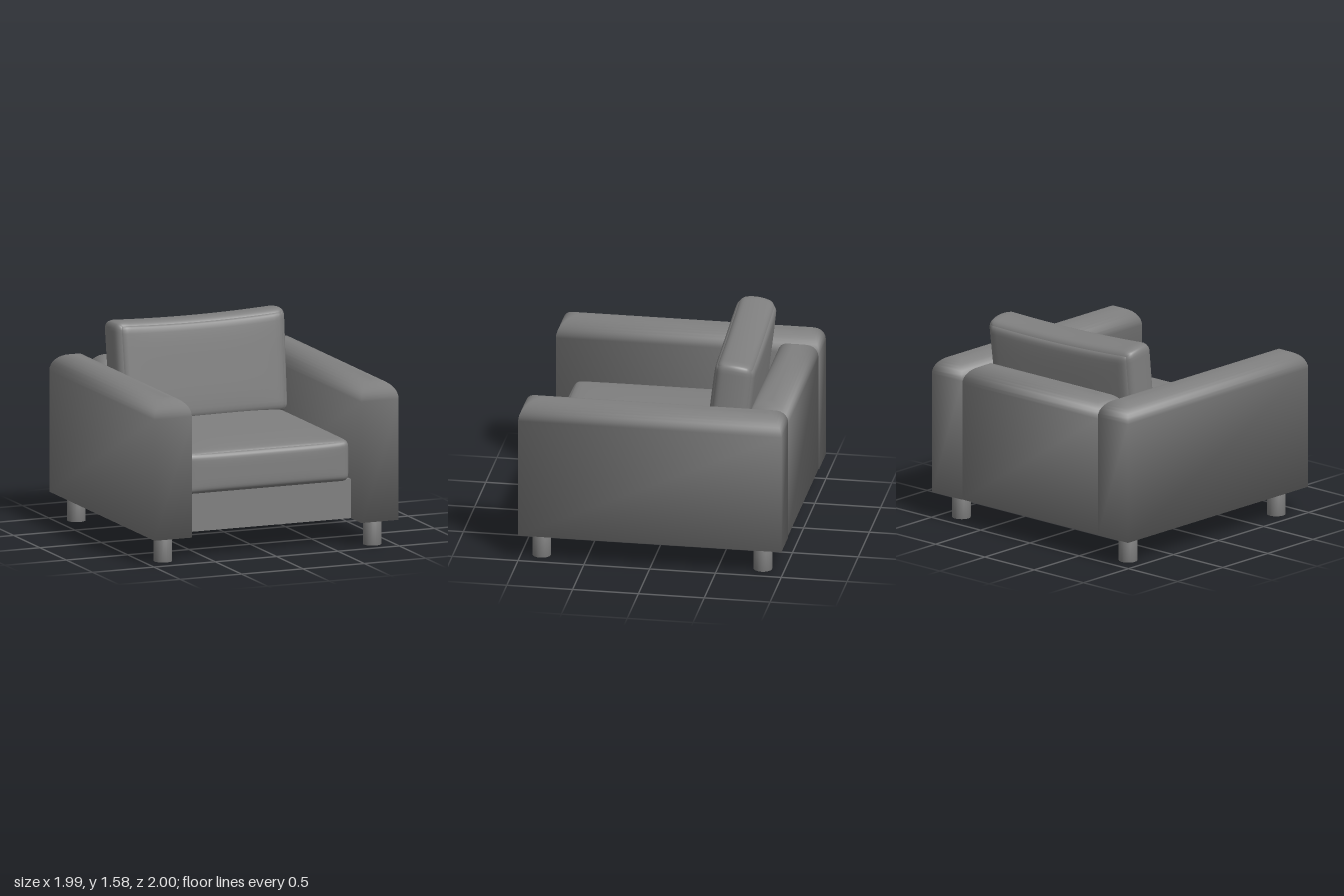
import * as THREE from 'three';
import { mergeVertices } from 'three/addons/utils/BufferGeometryUtils.js';

const material = new THREE.MeshStandardMaterial({ color: 0x808080 });

function addMesh(parent, name, geometry, x, y, z) {
  const mesh = new THREE.Mesh(geometry, material);
  mesh.name = name;
  mesh.position.set(x, y, z);
  parent.add(mesh);
  return mesh;
}

// Joins the corners of a geometry so that it shades smoothly all over
function weld(geo) {
  geo.deleteAttribute('uv');
  geo.deleteAttribute('normal');
  return mergeVertices(geo);
}

// Upright padded block, its top rolled over on all four sides, shaded softly round every edge
function rolledTopBlock(w, h, d, r) {
  const rows = 10;
  const geo = new THREE.BoxGeometry(w, h, d, 1, rows, 1);
  const p = geo.attributes.position;
  const n = new THREE.Vector3();
  for (let i = 0; i < p.count; i++) {
    const row = Math.round((p.getY(i) / h + 0.5) * rows);
    const a = ((row - 1) / (rows - 1)) * Math.PI / 2;
    const inset = row ? r * (1 - Math.cos(a)) : 0;
    const sx = Math.sign(p.getX(i)), sz = Math.sign(p.getZ(i));
    p.setXYZ(i,
      sx * (w / 2 - inset),
      row ? h - r + r * Math.sin(a) : 0,
      sz * (d / 2 - inset));
    if (row) n.set(sx * Math.cos(a), 2 * Math.sin(a), sz * Math.cos(a));
    else n.set(sx, -1, sz);
    n.normalize();
    geo.attributes.normal.setXYZ(i, n.x, n.y, n.z);
  }
  return geo;
}

// Soft rounded cushion; shape(p, u) adjusts each point, u being its -1..1 position
function cushion(w, h, d, r, shape) {
  const geo = weld(new THREE.BoxGeometry(2, 2, 2, 24, 24, 24));
  const half = new THREE.Vector3(w, h, d).multiplyScalar(0.5);
  const inner = half.clone().subScalar(r);
  const outer = inner.clone().negate();
  const pos = geo.attributes.position;
  const p = new THREE.Vector3(), c = new THREE.Vector3(), u = new THREE.Vector3();
  for (let i = 0; i < pos.count; i++) {
    u.fromBufferAttribute(pos, i);
    // crowd the rows towards the rounded edges
    u.set(...u.toArray().map((t) => Math.sin(t * Math.PI / 2)));
    p.copy(u).multiply(half);
    c.copy(p).clamp(outer, inner);
    p.sub(c).setLength(r).add(c);
    shape(p, u);
    pos.setXYZ(i, p.x, p.y, p.z);
  }
  geo.computeVertexNormals();
  return geo;
}

function leg() {
  const geo = weld(new THREE.CylinderGeometry(0.07, 0.07, 0.22, 24));
  geo.computeVertexNormals();
  return geo;
}

const swell = (a, b) => (1 - a ** 4) * (1 - b ** 4);

export function createModel() {
  const chair = new THREE.Group();
  chair.name = 'armchair';

  // Arms
  for (const [side, name] of [[1, 'leftArm'], [-1, 'rightArm']]) {
    addMesh(chair, name, rolledTopBlock(0.305, 1.065, 2, 0.14), side * 0.8425, 0.2, 0);
  }

  // Backrest between the arms
  addMesh(chair, 'backrest', rolledTopBlock(1.38, 1.045, 0.31, 0.14), 0, 0.2, -0.84);

  // Seat base
  addMesh(chair, 'seatBase', new THREE.BoxGeometry(1.38, 0.3, 1.5), 0, 0.35, 0.05);

  // Seat cushion, domed on top and slightly full at the front
  addMesh(chair, 'seatCushion', cushion(1.34, 0.32, 1.54, 0.05, (p, u) => {
    if (u.y > 0) p.y += 0.025 * u.y * swell(u.x, u.z);
    if (u.z > 0) p.z += 0.015 * u.z * swell(u.x, u.y);
  }), -0.005, 0.65, 0.08);

  // Loose back cushion, leaning back and turned a little, its rim rounded and top edge sagging
  const back = addMesh(chair, 'backCushion', cushion(1.41, 0.79, 0.3, 0.06, (p, u) => {
    p.x *= (1 + 0.008 * u.y) * (1 - 0.04 * u.z * u.z);
    p.z += 0.012 * u.z * swell(u.x, u.y);
    if (u.y > 0) p.y -= u.y * (0.02 * (1 - u.x * u.x) + 0.025 * u.z * u.z);
  }), 0, 1.18, -0.522);
  back.rotation.set(-0.12, 0.04, 0);

  // Legs
  const legs = [
    ['frontLeftLeg', 0.845, 0.845], ['frontRightLeg', -0.845, 0.81],
    ['backLeftLeg', 0.845, -0.835], ['backRightLeg', -0.845, -0.835],
  ];
  for (const [name, x, z] of legs) addMesh(chair, name, leg(), x, 0.11, z);

  return chair;
}
